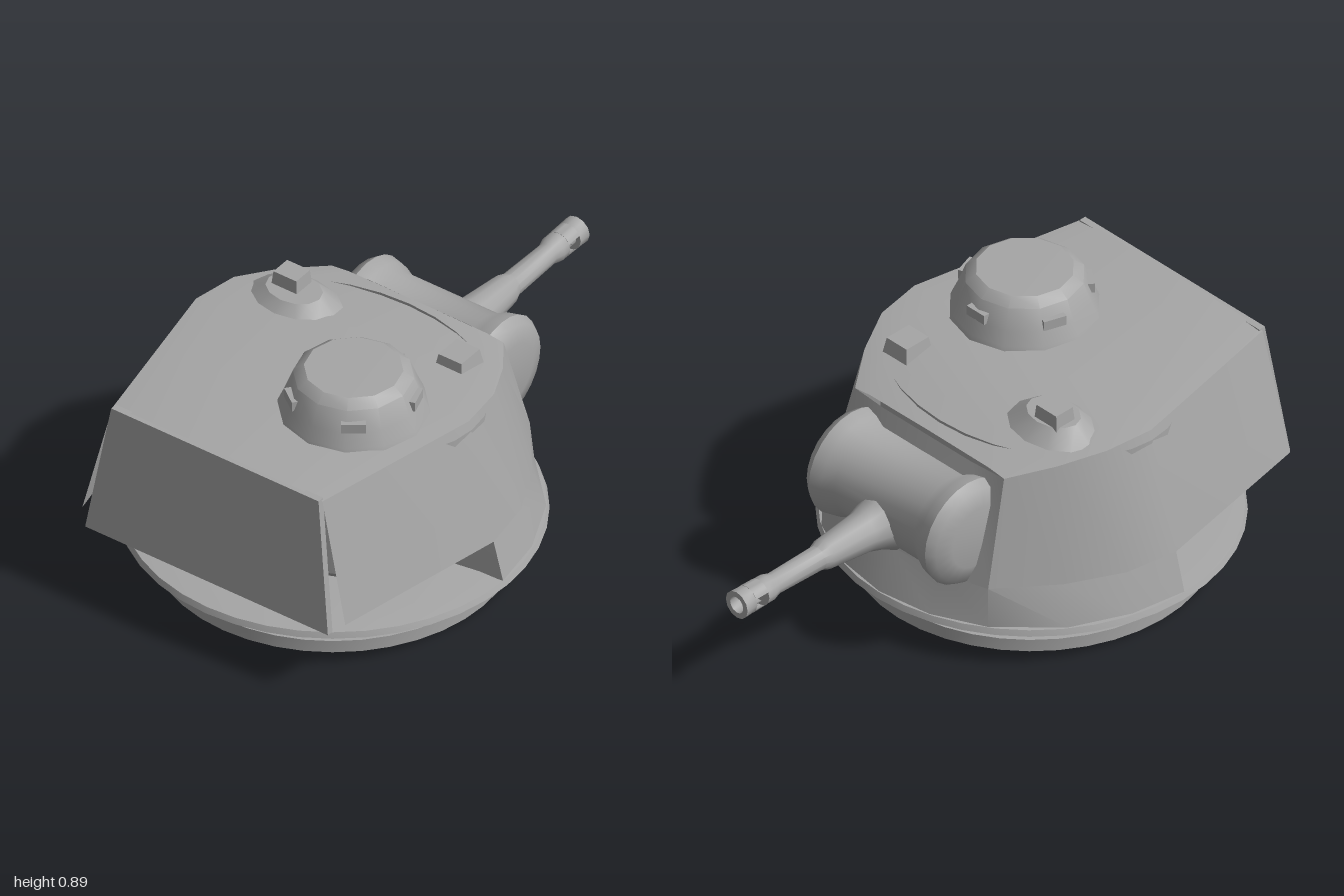
import * as THREE from 'three';
import { toCreasedNormals } from 'three/addons/utils/BufferGeometryUtils.js';

const steel = new THREE.MeshStandardMaterial({ color: 0xa6a6a6, side: THREE.DoubleSide });
steel.name = 'grey steel';

export function createModel() {
  const model = new THREE.Group();
  model.name = 'turret';

  const add = (name, geo, x = 0, y = 0, z = 0, crease = 0.6) => {
    const mesh = new THREE.Mesh(toCreasedNormals(geo, crease), steel);
    mesh.name = name;
    mesh.position.set(x, y, z);
    model.add(mesh);
    return mesh;
  };
  const lathe = (pts, sides, start = 0, length = Math.PI * 2) =>
    new THREE.LatheGeometry(pts.map(p => new THREE.Vector2(...p)), sides, start, length);

  // Surface through rows of points
  const grid = rows => {
    const n = rows[0].length, index = [];
    for (let r = 0; r < rows.length - 1; r++) {
      for (let c = 0; c < n - 1; c++) {
        const a = r * n + c, d = a + n;
        index.push(a, a + 1, d, a + 1, d + 1, d);
      }
    }
    const geo = new THREE.BufferGeometry();
    geo.setAttribute('position', new THREE.Float32BufferAttribute(rows.flat(2), 3));
    geo.setIndex(index);
    return geo;
  };
  // Full outline from a half outline that runs from the gun end backwards
  const mirror = half => [...half].reverse().concat(half.slice(1).map(([x, y, z]) => [-x, y, z]));

  // Turret ring and flared collar
  const cz = 0.315;
  add('turretRing', new THREE.CylinderGeometry(0.595, 0.595, 0.045, 40), 0, 0.0225, cz);
  add('collar', lathe([[0, 0.04], [0.555, 0.05], [0.69, 0.128], [0.682, 0.148], [0.6, 0.158], [0, 0.16]], 40), 0, 0, cz, 0.4);

  // Armour shell: foot, waist and roof outlines
  const foot = [[0, 0.15, -0.365], [0.2, 0.15, -0.335], [0.38, 0.15, -0.25], [0.56, 0.15, -0.07], [0.65, 0.15, 0.13], [0.682, 0.15, 0.33]];
  const waist = [[0, 0.29, -0.3], [0.2, 0.29, -0.29], [0.37, 0.29, -0.24], [0.52, 0.29, -0.05], [0.615, 0.29, 0.14], [0.645, 0.29, 0.33], [0.52, 0.29, 0.96]];
  const roof = [[0, 0.66, -0.15], [0.2, 0.66, -0.15], [0.34, 0.66, -0.14], [0.44, 0.69, 0], [0.515, 0.715, 0.15], [0.54, 0.722, 0.32], [0.415, 0.728, 0.94]];
  add('lowerArmour', grid([mirror(foot), mirror(waist.slice(0, 6))]));
  add('upperArmour', grid([mirror(waist), mirror(roof)]));
  add('roof', grid(roof.slice(2).map(([x, y, z]) =>
    [[x, y, z], [x * 0.8, y + 0.008, z], [0, y + 0.01, z], [-x * 0.8, y + 0.008, z], [-x, y, z]])));

  // Inner drum seen below the rear overhang, and the step behind each cheek
  const drum = add('innerDrum', lathe([[0.9, 0.155], [1, 0.2], [1, 0.69]], 32), 0, 0, cz);
  drum.scale.set(0.55, 1, 0.41);
  for (const s of [-1, 1]) {
    add('cheekStep', grid([
      [[s * 0.682, 0.15, 0.33], [s * 0.5, 0.15, 0.36]],
      [[s * 0.645, 0.29, 0.33], [s * 0.5, 0.29, 0.36]],
      [[s * 0.62, 0.38, 0.33], [s * 0.5, 0.38, 0.36]],
    ]));
  }

  // Sloping rear plate
  const plate = new THREE.BoxGeometry(2, 0.48, 0.025);
  const pp = plate.attributes.position;
  for (let i = 0; i < pp.count; i++) {
    const t = 0.5 - pp.getY(i) / 0.48;
    pp.setXYZ(i, pp.getX(i) * (0.41 + 0.07 * t), 0.735 - 0.48 * t, pp.getZ(i) + 0.942 + 0.045 * t);
  }
  plate.computeVertexNormals();
  add('rearPlate', plate);

  // Commander's cupola with vision blocks
  const cx = 0.205, cupZ = 0.485;
  add('cupola', lathe([[0.25, 0.72], [0.242, 0.745], [0.222, 0.79], [0.195, 0.862], [0.16, 0.888], [0, 0.89]], 12), cx, 0, cupZ);
  for (let i = 0; i < 5; i++) {
    const a = i * Math.PI * 2 / 5 + Math.PI;
    const block = add('visionBlock', new THREE.BoxGeometry(0.08, 0.035, 0.04),
      cx + Math.sin(a) * 0.2, 0.81, cupZ + Math.cos(a) * 0.2);
    block.rotation.y = a;
  }

  // Roof fittings
  const pad = add('roofPad', new THREE.CylinderGeometry(0.1, 0.17, 0.05, 12), -0.29, 0.735, 0.13);
  pad.scale.z = 0.75;
  const taperedBox = (w, h, d, sides = 4) =>
    new THREE.CylinderGeometry(0.58, 0.7071, 1, sides).rotateY(Math.PI / 4).scale(w, h, d);
  add('periscope', taperedBox(0.11, 0.1, 0.09), -0.315, 0.757, 0.11);
  add('sightHood', taperedBox(0.11, 0.06, 0.12), 0.325, 0.725, 0.08);

  // Rounded mantlet with raised ends
  const half = [[0, 0.31], [0.11, 0.31], [0.17, 0.295], [0.19, 0.265], [0.18, 0.22], [0.16, 0.18]];
  const profile = half.map(([r, x]) => [r, -x]).concat([...half].reverse());
  add('mantlet', lathe(profile, 24).rotateZ(Math.PI / 2), 0, 0.46, -0.23, 0.8);

  // Gun barrel and slotted muzzle, built along the barrel axis
  const gun = (name, pts, ...arc) =>
    add(name, lathe(pts, 12, ...arc).rotateX(-Math.PI / 2), 0, 0.425, 0, 0.6);
  gun('barrel', [[0.11, 0.34], [0.085, 0.39], [0.07, 0.44], [0.053, 0.61], [0.042, 0.64], [0.038, 0.84], [0.047, 0.87], [0.047, 0.9], [0, 0.9]]);
  gun('muzzle', [[0.03, 0.955], [0.048, 0.955], [0.05, 1], [0.03, 1], [0.03, 0.955]]);
  for (const start of [0.5, 1.5]) {
    gun('muzzleBridge', [[0.047, 0.9], [0.048, 0.955], [0.03, 0.955], [0.03, 0.9], [0.047, 0.9]],
      Math.PI * start + 0.45, Math.PI - 0.9);
  }
  return model;
}
